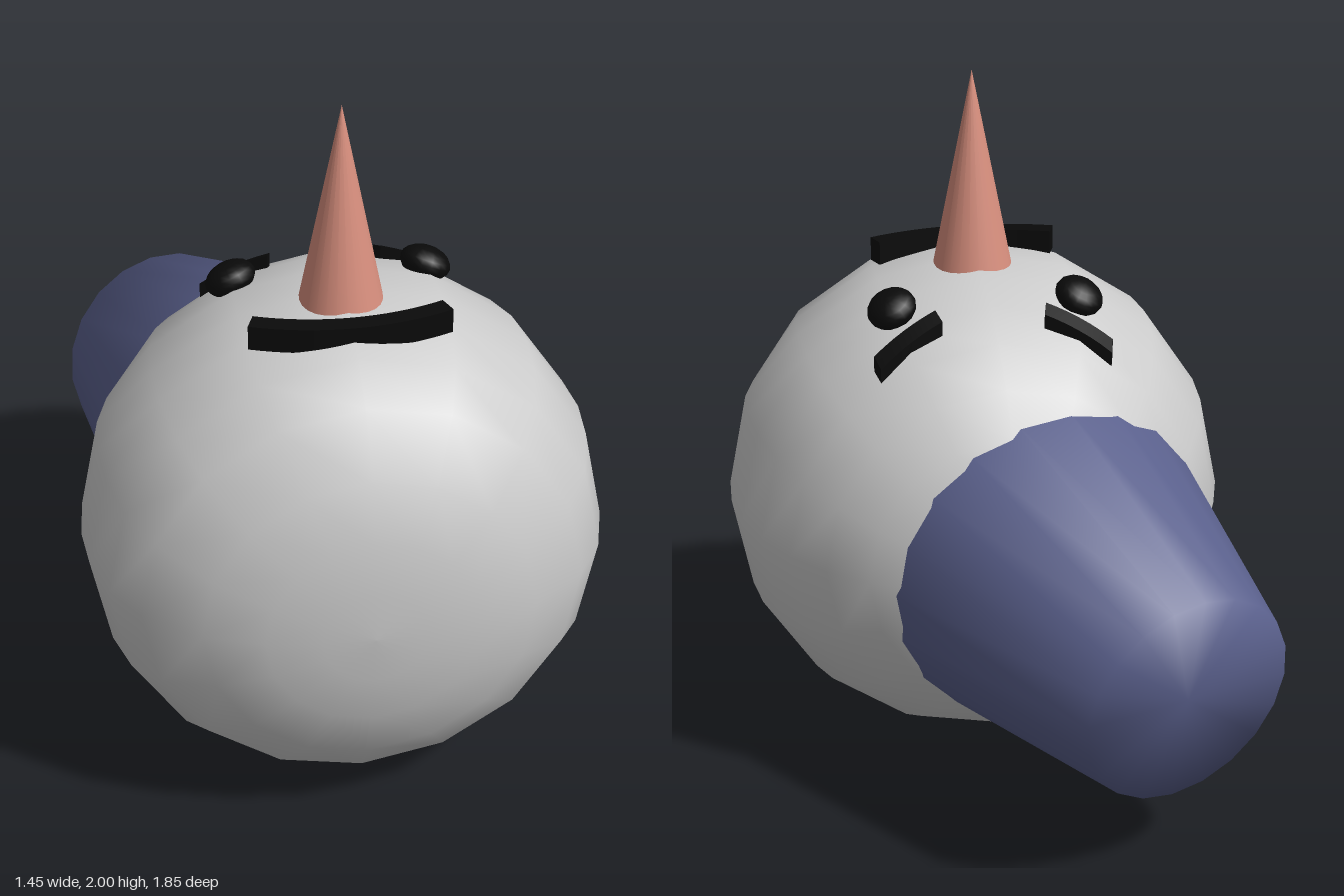
import * as THREE from 'three';

const UP = new THREE.Vector3(0, 1, 0);
const HEAD = new THREE.Vector3(0, 0.725, 0.33);
const R = 0.725;

const grey = new THREE.MeshStandardMaterial({ color: 0xcccccc });
const black = new THREE.MeshStandardMaterial({ color: 0x0a0a0a });
const blue = new THREE.MeshStandardMaterial({ color: 0x5a608c });
const orange = new THREE.MeshStandardMaterial({ color: 0xd88f7e });

function add(parent, name, geometry, material) {
  const mesh = new THREE.Mesh(geometry, material);
  mesh.name = name;
  parent.add(mesh);
  return mesh;
}

// Height of the head's round half above a ground point
const headTop = (x, z) => HEAD.y + Math.sqrt(R * R - x * x - (z - HEAD.z) ** 2);

// Head: round behind, flattened in front, turned about z
function headGeometry() {
  const profile = [];
  for (let i = 0; i < 8; i++) {
    const a = (i / 8) * Math.PI / 2;
    profile.push(new THREE.Vector2(R * Math.sin(a), -R * Math.cos(a)));
  }
  [[R, 0], [0.715, 0.13], [0.675, 0.275], [0.6, 0.39], [0.45, 0.505],
    [0.29, 0.56], [0.14, 0.585], [0, 0.59]]
    .forEach(([r, z]) => profile.push(new THREE.Vector2(r, z)));
  return new THREE.LatheGeometry(profile, 16).rotateX(Math.PI / 2);
}

// Brow: a bar bent to lie on the head
function browGeometry(side) {
  const g = new THREE.BoxGeometry(0.19, 0.045, 0.046, 6, 1, 1);
  g.rotateY(side * 0.28);
  g.translate(side * 0.243, 0, -0.005);
  const p = g.attributes.position;
  for (let i = 0; i < p.count; i++) {
    p.setY(i, p.getY(i) + 0.003 + headTop(p.getX(i), p.getZ(i)));
  }
  g.computeVertexNormals();
  return g;
}

// Mouth: a flat curved band
function mouthGeometry() {
  const shape = new THREE.Shape();
  const a = 0.375, mid = -Math.PI / 2;
  shape.absarc(0, 0, 0.743, mid - a, mid + a, false);
  shape.absarc(0, 0, 0.69, mid + a, mid - a, true);
  const g = new THREE.ExtrudeGeometry(shape, { depth: 0.07, bevelEnabled: false, curveSegments: 8 });
  return g.rotateX(-Math.PI / 2).translate(0, 1.39, -0.198);
}

export function createModel() {
  const group = new THREE.Group();
  group.name = 'snowmanHead';

  add(group, 'head', headGeometry(), grey).position.copy(HEAD);

  // Tapered bucket hat, tilted back and to one side
  const base = new THREE.Vector3(-0.15, 0.67, -0.19);
  const end = new THREE.Vector3(-0.375, 0.57, -0.81);
  const length = base.distanceTo(end);
  const hat = add(group, 'hat', new THREE.LatheGeometry([
    new THREE.Vector2(0.5, -0.08),
    new THREE.Vector2(0.318, length),
    new THREE.Vector2(0, length),
  ], 20), blue);
  hat.material.side = THREE.DoubleSide;
  hat.position.copy(base);
  hat.quaternion.setFromUnitVectors(UP, end.clone().sub(base).normalize());

  // Nose, sunk slightly into the face
  add(group, 'nose', new THREE.ConeGeometry(0.122, 0.62, 24), orange).position.set(0, 1.69, 0.33);

  add(group, 'mouth', mouthGeometry(), black);

  for (const side of [1, -1]) {
    const prefix = side > 0 ? 'left' : 'right';
    const eye = add(group, prefix + 'Eye', new THREE.SphereGeometry(0.072, 16, 10), black);
    eye.scale.y = 0.65;
    eye.position.set(side * 0.27, 1.382, 0.118);
    eye.quaternion.setFromUnitVectors(UP, eye.position.clone().sub(HEAD).normalize());
    add(group, prefix + 'Brow', browGeometry(side), black);
  }
  return group;
}
